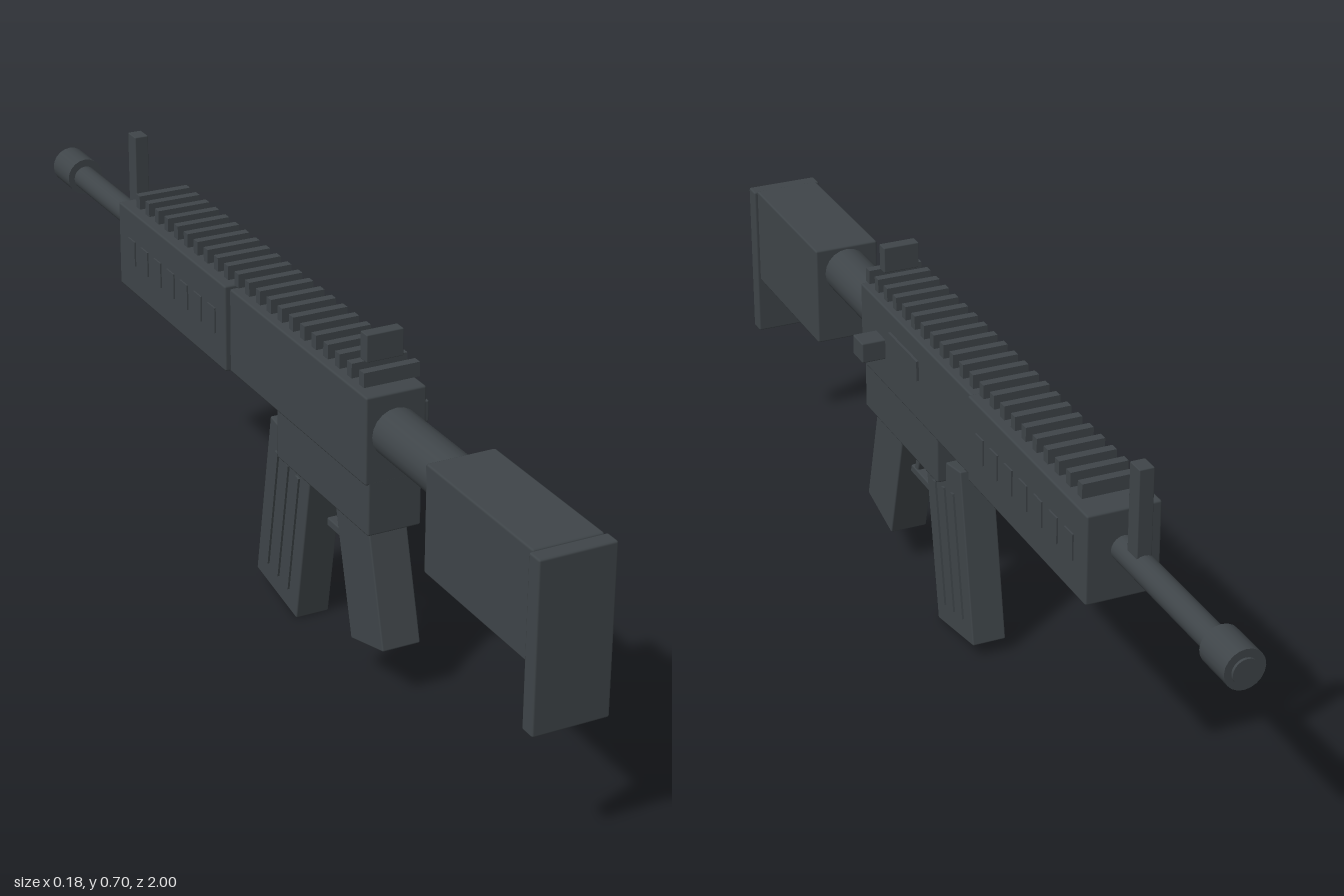
import * as THREE from 'three';
import { RoundedBoxGeometry } from 'three/addons/geometries/RoundedBoxGeometry.js';

const AXIS = -0.018; // x of the long centre line

export function createModel() {
  const root = new THREE.Group();
  root.name = 'rifle';
  const body = new THREE.MeshStandardMaterial({ color: 0x3f4549 });
  body.name = 'gunmetal';

  function add(name, geometry, x, y, z, parent = root) {
    const mesh = new THREE.Mesh(geometry, body);
    mesh.name = name;
    mesh.position.set(x, y, z);
    parent.add(mesh);
    return mesh;
  }

  // Softly bevelled block given by its width and its y and z ranges
  function block(name, width, y0, y1, z0, z1, bevel = 0.004) {
    const geo = new RoundedBoxGeometry(width, y1 - y0, z1 - z0, 1, bevel);
    return add(name, geo, AXIS, (y0 + y1) / 2, (z0 + z1) / 2);
  }

  // Round part along z
  function rod(name, radius, y, z0, z1) {
    const geo = new THREE.CylinderGeometry(radius, radius, z1 - z0, 20);
    geo.rotateX(Math.PI / 2);
    return add(name, geo, AXIS, y, (z0 + z1) / 2);
  }

  // Leaning block, turned about x
  function leaning(name, width, height, depth, y, z, degrees) {
    const geo = new RoundedBoxGeometry(width, height, depth, 1, 0.003);
    const mesh = add(name, geo, AXIS, y, z);
    mesh.rotation.x = THREE.MathUtils.degToRad(degrees);
    return mesh;
  }

  // Stock
  block('buttPlate', 0.143, 0.243, 0.558, 0.968, 1.0);
  block('stock', 0.13, 0.36, 0.56, 0.637, 0.97);
  rod('bufferTube', 0.046, 0.508, 0.41, 0.645);

  // Receiver and handguard
  block('upperReceiver', 0.116, 0.418, 0.583, -0.11, 0.42);
  block('lowerReceiver', 0.104, 0.32, 0.425, 0.072, 0.42);
  block('handguard', 0.138, 0.42, 0.59, -0.583, -0.105);
  add('ejectionPortCover', new THREE.BoxGeometry(0.008, 0.04, 0.135), 0.041, 0.523, 0.207);
  add('forwardAssist', new RoundedBoxGeometry(0.055, 0.041, 0.047, 1, 0.003), 0.0595, 0.495, 0.324);

  // Raised vents on both sides of the handguard
  for (const side of [-1, 1]) {
    for (let i = 0; i < 7; i++) {
      add('vent', new THREE.BoxGeometry(0.008, 0.05, 0.032), AXIS + side * 0.068, 0.508, -0.16 - i * 0.06);
    }
  }

  // Top rail
  for (let i = 0; i < 22; i++) {
    add('railTooth', new THREE.BoxGeometry(0.107, 0.027, 0.017), AXIS, 0.6075, 0.394 - i * 0.0437);
  }

  // Sights
  block('rearSight', 0.071, 0.626, 0.677, 0.354, 0.378, 0.002);
  block('frontSight', 0.028, 0.53, 0.7, -0.656, -0.621, 0.002);

  // Barrel
  rod('barrel', 0.024, 0.516, -1.0, -0.57);
  rod('muzzle', 0.037, 0.518, -0.995, -0.915);

  // Grip and trigger
  leaning('grip', 0.075, 0.264, 0.122, 0.218, 0.36, -15);
  leaning('trigger', 0.018, 0.09, 0.015, 0.28, 0.26, -20);
  block('triggerGuard', 0.022, 0.226, 0.243, 0.19, 0.297, 0.003);

  // Magazine with ribs on both sides
  const magazine = leaning('magazine', 0.067, 0.346, 0.166, 0.1865, 0.0605, 9.8);
  for (const side of [-1, 1]) {
    for (const z of [-0.042, 0, 0.042]) {
      add('magazineRib', new THREE.BoxGeometry(0.008, 0.25, 0.012), side * 0.0335, -0.005, z, magazine);
    }
  }

  return root;
}
